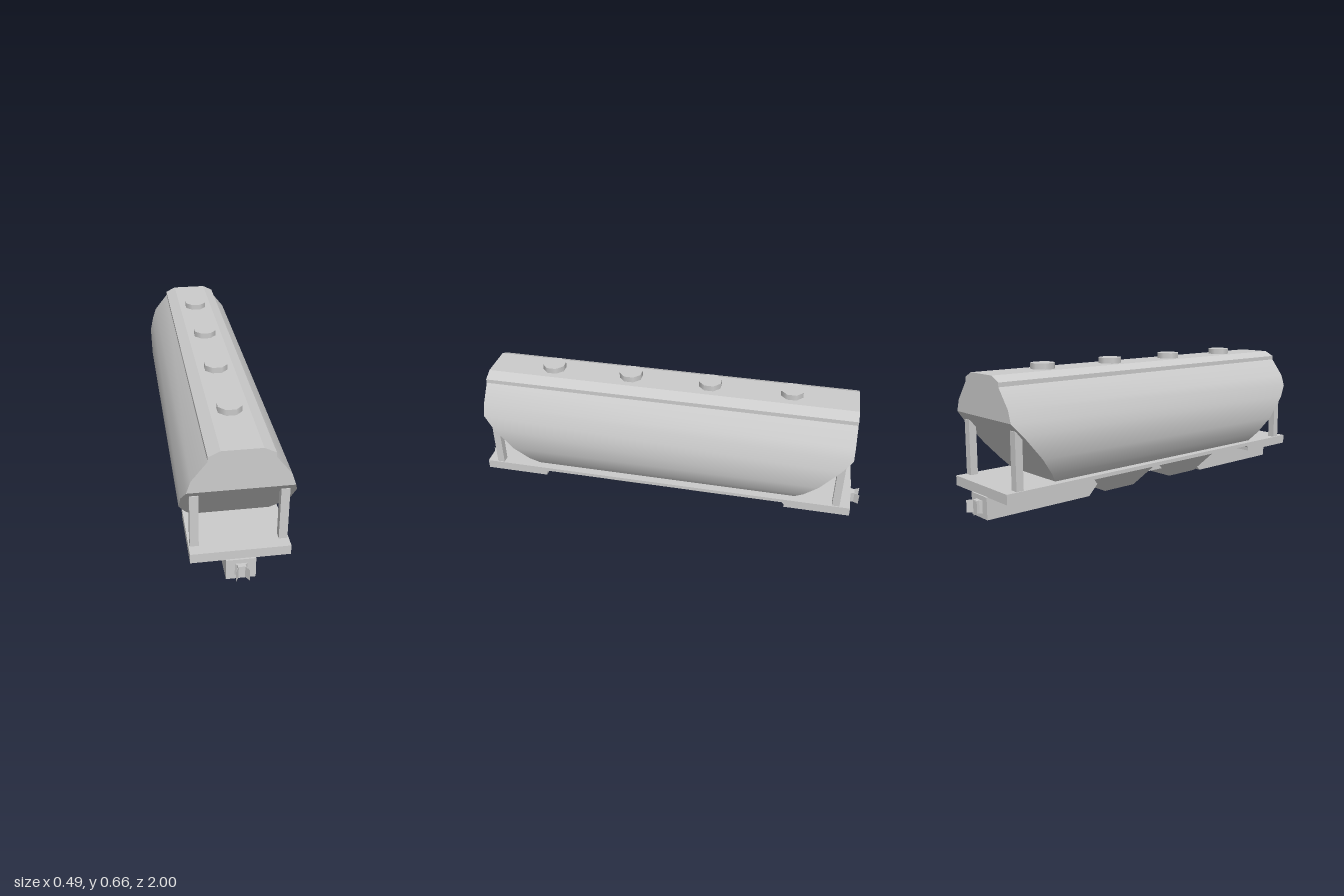
import * as THREE from 'three';
import { toCreasedNormals } from 'three/addons/utils/BufferGeometryUtils.js';

const material = new THREE.MeshStandardMaterial({ color: 0xcccccc });

function add(parent, name, geometry, x = 0, y = 0, z = 0) {
  const mesh = new THREE.Mesh(geometry, material);
  mesh.name = name;
  mesh.position.set(x, y, z);
  parent.add(mesh);
  return mesh;
}

// Extrude a [z, y] side outline across the car, centred on x = 0
function sideExtrude(points, width) {
  const shape = new THREE.Shape(points.map(([z, y]) => new THREE.Vector2(z, y)));
  return new THREE.ExtrudeGeometry(shape, { depth: width, bevelEnabled: false })
    .translate(0, 0, -width / 2)
    .rotateY(-Math.PI / 2);
}

// Mirror half of a [z, y] outline from front to back
const mirrorZ = (half) => [...half, ...half.map(([z, y]) => [-z, y]).reverse()];

// Tank shell: half cross-section rows from roof to floor, ends sloping in below the shoulder
function tankGeometry() {
  const rows = [
    [0.087, 0.635], [0.138, 0.61], [0.138, 0.59], [0.207, 0.502], [0.226, 0.445],
    [0.245, 0.387], [0.245, 0.275], [0.212, 0.195], [0.178, 0.148],
  ];
  const endZ = (y) => (y >= 0.445 ? 0.92 : 0.92 - ((0.445 - y) / 0.297) * 0.25);
  const ring = ([x, y]) => {
    const z = endZ(y);
    return [[x, y, z], [x, y, -z], [-x, y, -z], [-x, y, z]];
  };
  const pos = [];
  const quad = (a, b, c, d) => pos.push(...a, ...b, ...c, ...a, ...c, ...d);
  for (let i = 0; i < rows.length - 1; i++) {
    const top = ring(rows[i]);
    const low = ring(rows[i + 1]);
    for (let k = 0; k < 4; k++) {
      const n = (k + 1) % 4;
      quad(top[k], low[k], low[n], top[n]);
    }
  }
  const roof = ring(rows[0]);
  const floor = ring(rows[rows.length - 1]);
  quad(...roof);
  quad(...floor.reverse());
  const geometry = new THREE.BufferGeometry();
  geometry.setAttribute('position', new THREE.Float32BufferAttribute(pos, 3));
  return toCreasedNormals(geometry, 0.43);
}

// Discharge hopper: a box with its lower corners drawn in
function hopperGeometry() {
  const geometry = new THREE.BoxGeometry(0.356, 0.112, 0.354);
  const p = geometry.attributes.position;
  for (let i = 0; i < p.count; i++) {
    if (p.getY(i) < 0) {
      p.setX(i, Math.sign(p.getX(i)) * 0.092);
      p.setZ(i, Math.sign(p.getZ(i)) * 0.093);
    }
  }
  geometry.computeVertexNormals();
  return geometry;
}

// Coupler: a notched plan outline, extruded upward
function couplerGeometry() {
  const plan = [
    [-0.03, 0.94], [0.03, 0.94], [0.03, 0.95], [0.017, 0.963], [0.017, 0.975], [0.03, 1],
    [0.014, 0.975], [-0.014, 0.975], [-0.03, 1], [-0.017, 0.975], [-0.017, 0.963], [-0.03, 0.95],
  ];
  const shape = new THREE.Shape(plan.map(([x, z]) => new THREE.Vector2(x, -z)));
  return new THREE.ExtrudeGeometry(shape, { depth: 0.058, bevelEnabled: false })
    .rotateX(-Math.PI / 2);
}

export function createModel() {
  const model = new THREE.Group();
  model.name = 'hopperWagon';

  add(model, 'tank', tankGeometry());

  // Roof hatches
  for (const z of [-0.6, -0.2, 0.2, 0.6]) {
    const hatch = new THREE.CylinderGeometry(0.058, 0.058, 0.037, 8).rotateY(Math.PI / 8);
    add(model, 'hatch', hatch, 0, 0.6445, z);
  }

  // Deck, thinner along the middle
  const deck = mirrorZ([[0.945, 0.148], [0.945, 0.102], [0.622, 0.102], [0.622, 0.12], [0.612, 0.13]]);
  add(model, 'deck', sideExtrude(deck, 0.434));

  // Centre sill, deep at both ends and shallow between the hoppers
  const sill = mirrorZ([[0.953, 0.104], [0.953, 0.002], [0.39, 0.002], [0.333, 0.06]]);
  add(model, 'centreSill', sideExtrude(sill, 0.13));
  add(model, 'sillTop', new THREE.BoxGeometry(0.13, 0.035, 1.24), 0, 0.119, 0);

  const hopper = hopperGeometry();
  const coupler = couplerGeometry();
  const post = new THREE.BoxGeometry(0.038, 0.262, 0.036);
  for (const end of [1, -1]) {
    add(model, 'dischargeHopper', hopper, 0, 0.075, end * 0.22);
    add(model, 'coupler', coupler, 0, 0.025, 0).rotation.y = end > 0 ? 0 : Math.PI;
    for (const side of [1, -1]) add(model, 'endPost', post, side * 0.192, 0.276, end * 0.875);
  }

  // Stand the lowest part on the ground
  model.children.forEach((part) => { part.position.y -= 0.002; });
  return model;
}
